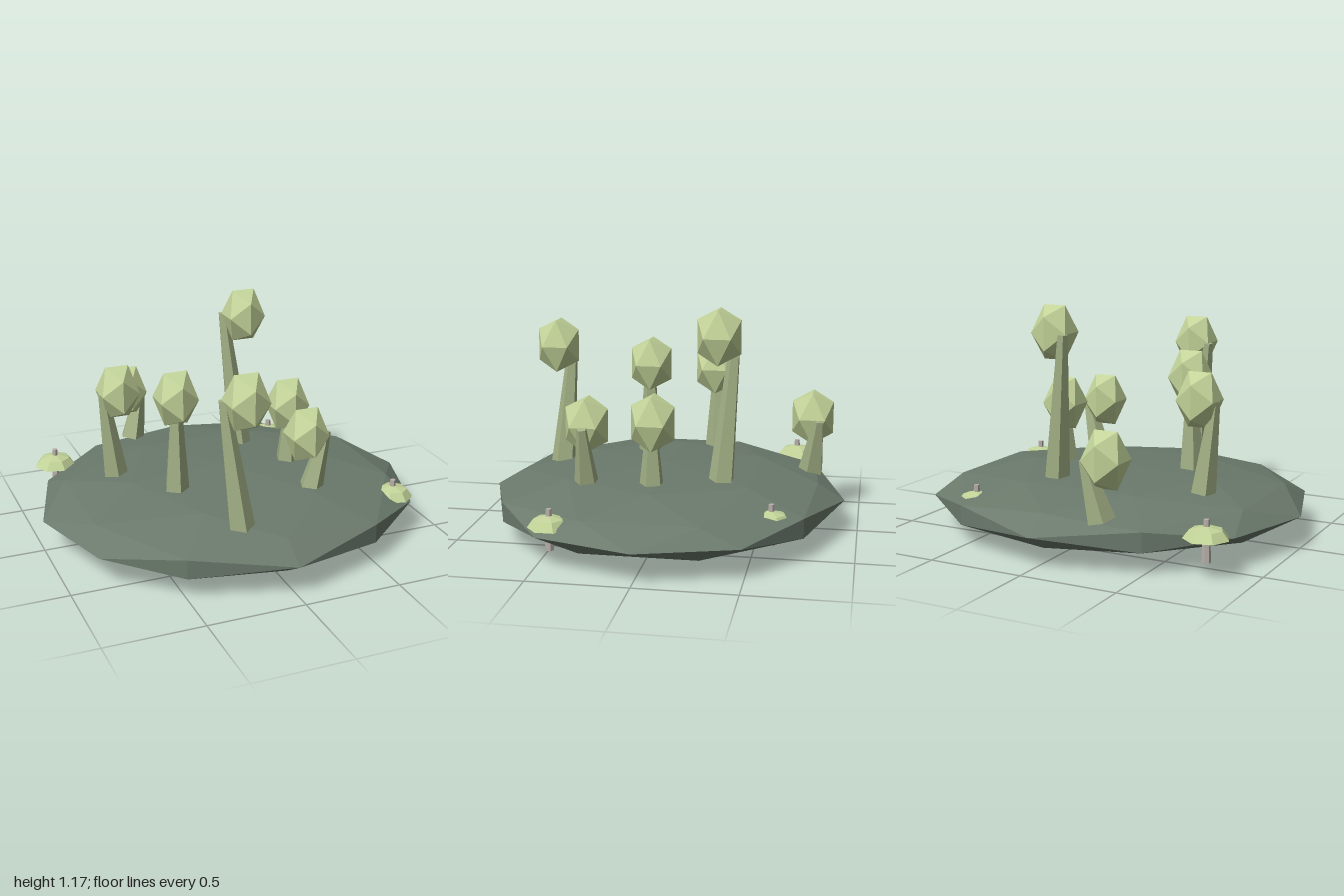
import * as THREE from 'three';

const mat = (name, color, side = THREE.FrontSide) => {
  const m = new THREE.MeshStandardMaterial({ color, flatShading: true, side });
  m.name = name;
  return m;
};

export function createModel() {
  const group = new THREE.Group();
  const mossGreen = mat('mossGreen', 0x6b7a6c);
  const leafGreen = mat('leafGreen', 0xc3d499, THREE.DoubleSide);
  const trunkGreen = mat('trunkGreen', 0xa3b186);
  const stalkGrey = mat('stalkGrey', 0xb9b1aa);

  const add = (parent, name, geometry, material) => {
    const mesh = new THREE.Mesh(geometry, material);
    mesh.name = name;
    parent.add(mesh);
    return mesh;
  };

  // Flattened faceted island
  const island = add(group, 'island', new THREE.IcosahedronGeometry(1, 1), mossGreen);
  island.scale.set(1, 0.161, 0.93);
  island.position.y = 0.164;

  // Leaning trees: [crown x, y, z, trunk base x, z, trunk top x, z]
  const trees = [
    [-0.53, 0.74, -0.185, -0.55, -0.19, -0.61, -0.185],
    [0.22, 1.04, -0.297, 0.21, -0.31, 0.133, -0.37],
    [-0.15, 0.91, 0.62, -0.165, 0.61, -0.243, 0.565],
    [-0.33, 0.79, 0.148, -0.335, 0.155, -0.332, 0.155],
    [0.345, 0.62, 0.015, 0.345, 0.02, 0.355, 0.02],
    [0.29, 0.585, 0.365, 0.315, 0.36, 0.4, 0.365],
    [-0.31, 0.53, -0.74, -0.285, -0.74, -0.215, -0.777],
  ];
  const up = new THREE.Vector3(0, 1, 0);
  for (const [x, y, z, bx, bz, tx, tz] of trees) {
    const tree = new THREE.Group();
    tree.name = 'tree';
    group.add(tree);

    const crown = add(tree, 'crown', new THREE.IcosahedronGeometry(1, 0), leafGreen);
    crown.scale.set(0.116, 0.162, 0.129);
    crown.position.set(x, y, z);

    const base = new THREE.Vector3(bx, 0.24, bz);
    const top = new THREE.Vector3(tx, y, tz);
    const axis = top.clone().sub(base);
    const trunk = add(tree, 'trunk',
      new THREE.CylinderGeometry(0.027, 0.07, axis.length(), 5), trunkGreen);
    trunk.position.copy(base).add(top).multiplyScalar(0.5);
    trunk.quaternion.setFromUnitVectors(up, axis.normalize());
  }

  // Mushrooms at the rim, with the stalk passing through the cap
  for (const [x, z, r] of [[0.765, 0.44, 0.105], [-0.77, -0.63, 0.112], [0.51, -0.595, 0.1]]) {
    const mushroom = new THREE.Group();
    mushroom.name = 'mushroom';
    mushroom.position.set(x, 0, z);
    group.add(mushroom);

    const stalk = add(mushroom, 'stalk', new THREE.CylinderGeometry(0.014, 0.023, 0.205, 6), stalkGrey);
    stalk.position.y = 0.18;

    const cap = add(mushroom, 'cap',
      new THREE.SphereGeometry(1, 7, 2, 0, Math.PI * 2, 0, Math.PI / 2), leafGreen);
    cap.scale.set(r, 0.06, r);
    cap.position.y = 0.192;
  }

  return group;
}
